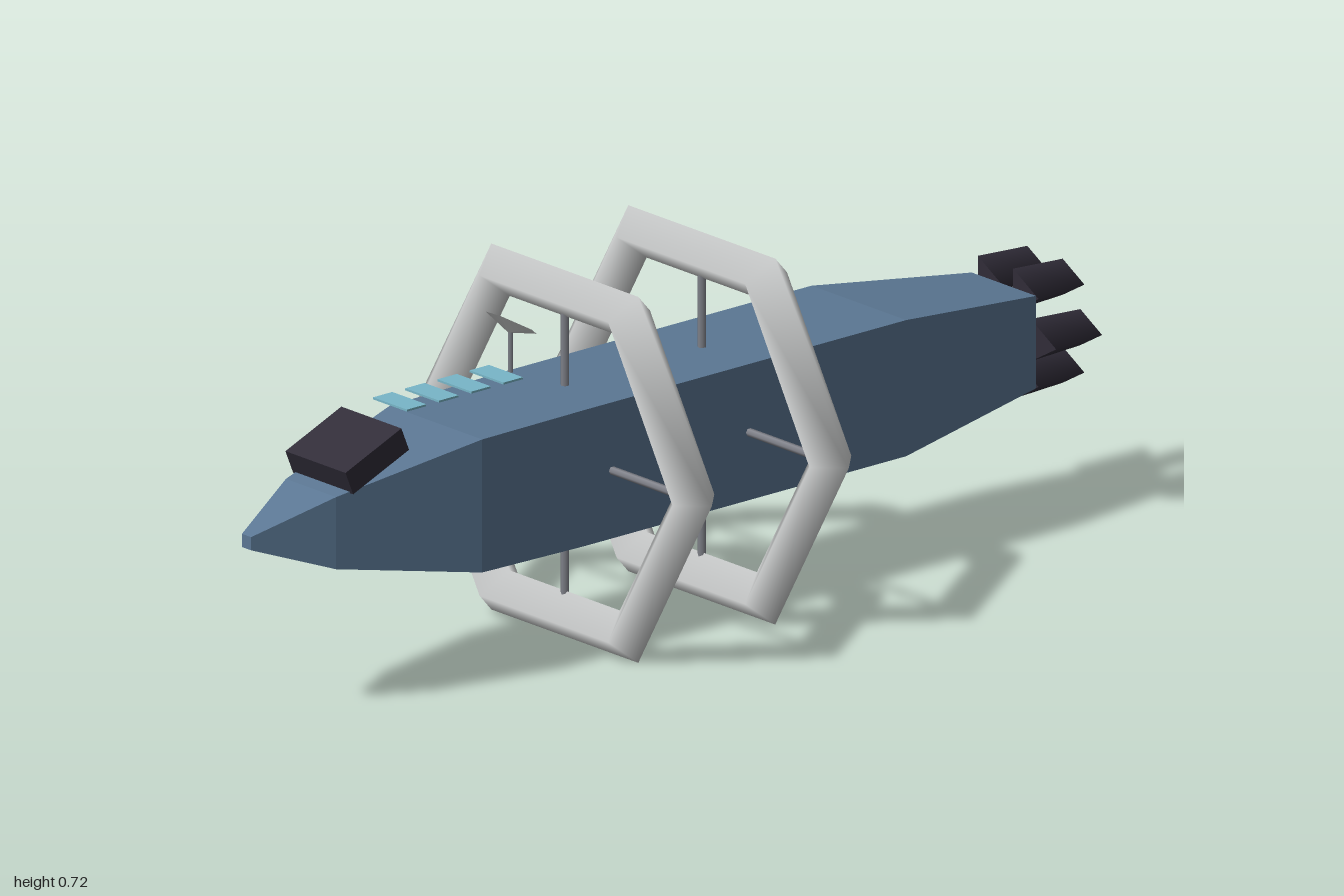
import * as THREE from 'three';

const mat = (name, color, extra = {}) => {
  const m = new THREE.MeshStandardMaterial({ color, ...extra });
  m.name = name;
  return m;
};

// Square-section body lofted through [z, halfWidth] stations, back to front
function squareLoft(stations) {
  const corners = [[1, 1], [-1, 1], [-1, -1], [1, -1]];
  const pos = [];
  const loop = ([z, h]) => corners.map(([x, y]) => [x * h, y * h, z]);
  const quad = (a, b, c, d) => pos.push(...a, ...b, ...c, ...a, ...c, ...d);
  for (let i = 0; i < stations.length - 1; i++) {
    const back = loop(stations[i]), front = loop(stations[i + 1]);
    for (let k = 0; k < 4; k++) {
      const n = (k + 1) % 4;
      quad(back[k], back[n], front[n], front[k]);
    }
  }
  const first = loop(stations[0]), last = loop(stations[stations.length - 1]);
  quad(...last);
  quad(...first.reverse());
  const g = new THREE.BufferGeometry();
  g.setAttribute('position', new THREE.Float32BufferAttribute(pos, 3));
  g.computeVertexNormals();
  return g;
}

export function createModel() {
  const root = new THREE.Group();
  root.name = 'spaceship';
  const hullBlue = mat('hullBlue', 0x5b7793);
  const ringWhite = mat('ringWhite', 0xd8dada);
  const strutGrey = mat('strutGrey', 0x80828a);
  const darkMetal = mat('darkMetal', 0x302c38);
  const paleTeal = mat('paleTeal', 0x78b6c8);
  const axis = 0.36;

  const add = (name, geometry, material, x, y, z, parent = root) => {
    const m = new THREE.Mesh(geometry, material);
    m.name = name;
    m.position.set(x, y, z);
    parent.add(m);
    return m;
  };

  // Hull
  add('hull', squareLoft([
    [-0.88, 0.091], [-0.52, 0.134], [0.28, 0.134], [0.53, 0.131], [0.84, 0.071], [1, 0.013],
  ]), hullBlue, 0, axis, 0);

  // Two hexagonal habitat rings with crossed spokes
  const ringGeo = new THREE.TorusGeometry(0.364, 0.052, 4, 6);
  for (const [name, z] of [['frontRing', 0.21], ['rearRing', -0.13]]) {
    const g = new THREE.Group();
    g.name = name;
    g.position.set(0, axis, z);
    root.add(g);
    add('ring', ringGeo, ringWhite, 0, 0, 0, g);
    add('verticalSpokes', new THREE.CylinderGeometry(0.008, 0.008, 0.57, 6), strutGrey, 0, 0, 0, g);
    add('horizontalSpokes', new THREE.CylinderGeometry(0.008, 0.008, 0.64, 6), strutGrey, 0, 0, 0, g)
      .rotation.z = Math.PI / 2;
  }

  // Tilted bridge block on the nose
  add('bridge', new THREE.BoxGeometry(0.17, 0.05, 0.15), darkMetal, 0, 0.485, 0.75).rotation.x = 0.39;

  // Row of thin panels above the foredeck
  for (let i = 0; i < 4; i++) {
    add('panel', new THREE.BoxGeometry(0.096, 0.004, 0.048), paleTeal, 0, 0.552, 0.38 + i * 0.08);
  }

  // Antenna mast and five-sided dish
  add('mast', new THREE.CylinderGeometry(0.005, 0.005, 0.085, 6), strutGrey, 0, 0.592, 0.345);
  const dishGeo = new THREE.ConeGeometry(0.055, 0.02, 5).rotateX(Math.PI).rotateY(-Math.PI / 2);
  add('dish', dishGeo, ringWhite, 0, 0.637, 0.345).rotation.x = -0.55;

  // Six three-sided engines in a circle, with glowing rear faces
  const engineGeo = new THREE.CylinderGeometry(0.048, 0.041, 0.12, 3)
    .rotateY(Math.PI / 2).rotateX(Math.PI / 2);
  for (let i = 0; i < 6; i++) {
    const a = (i * Math.PI) / 3;
    add('engine', engineGeo, [darkMetal, darkMetal, paleTeal],
      0.1 * Math.cos(a), axis + 0.1 * Math.sin(a), -0.94);
  }
  return root;
}
